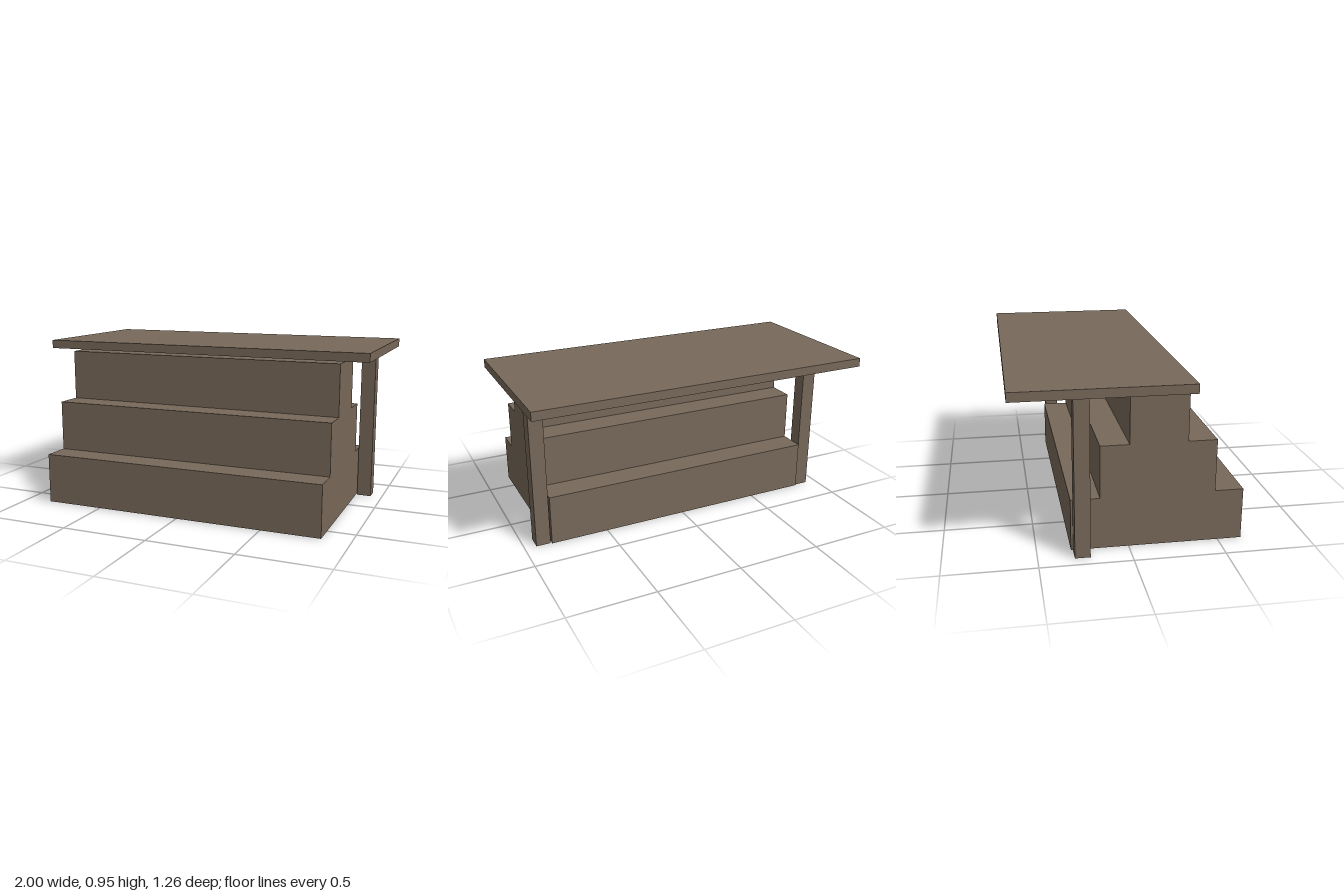
import * as THREE from 'three';

export function createModel() {
  const group = new THREE.Group();
  const wood = new THREE.MeshStandardMaterial({ color: 0x776859 });
  wood.name = 'brown wood';

  const add = (name, geometry, x = 0, y = 0, z = 0) => {
    const mesh = new THREE.Mesh(geometry, wood);
    mesh.name = name;
    mesh.position.set(x, y, z);
    group.add(mesh);
  };

  // Stepped block: side profile (z, y) extruded across the width
  const width = 1.684, rise = 0.295, base = 0.002;
  const front = [0.632, 0.474, 0.316], back = [-0.316, -0.158, 0];
  const points = [];
  front.forEach((z, i) => points.push(
    new THREE.Vector2(z, i ? i * rise : base), new THREE.Vector2(z, (i + 1) * rise)));
  for (let i = 2; i >= 0; i--) points.push(
    new THREE.Vector2(back[i], (i + 1) * rise), new THREE.Vector2(back[i], i ? i * rise : base));
  const steps = new THREE.ExtrudeGeometry(new THREE.Shape(points), { depth: width, bevelEnabled: false });
  steps.translate(0, 0, -width / 2).rotateY(-Math.PI / 2);
  add('steps', steps);

  // Flat roof board, overhanging the back
  add('roof', new THREE.BoxGeometry(2, 0.05, 0.948), 0, 0.923, -0.158);

  // Square posts beside the steps
  for (const side of [-1, 1]) {
    add(side > 0 ? 'leftPost' : 'rightPost',
      new THREE.BoxGeometry(0.084, 0.898, 0.084), side * 0.89, 0.449, -0.263);
  }

  return group;
}
